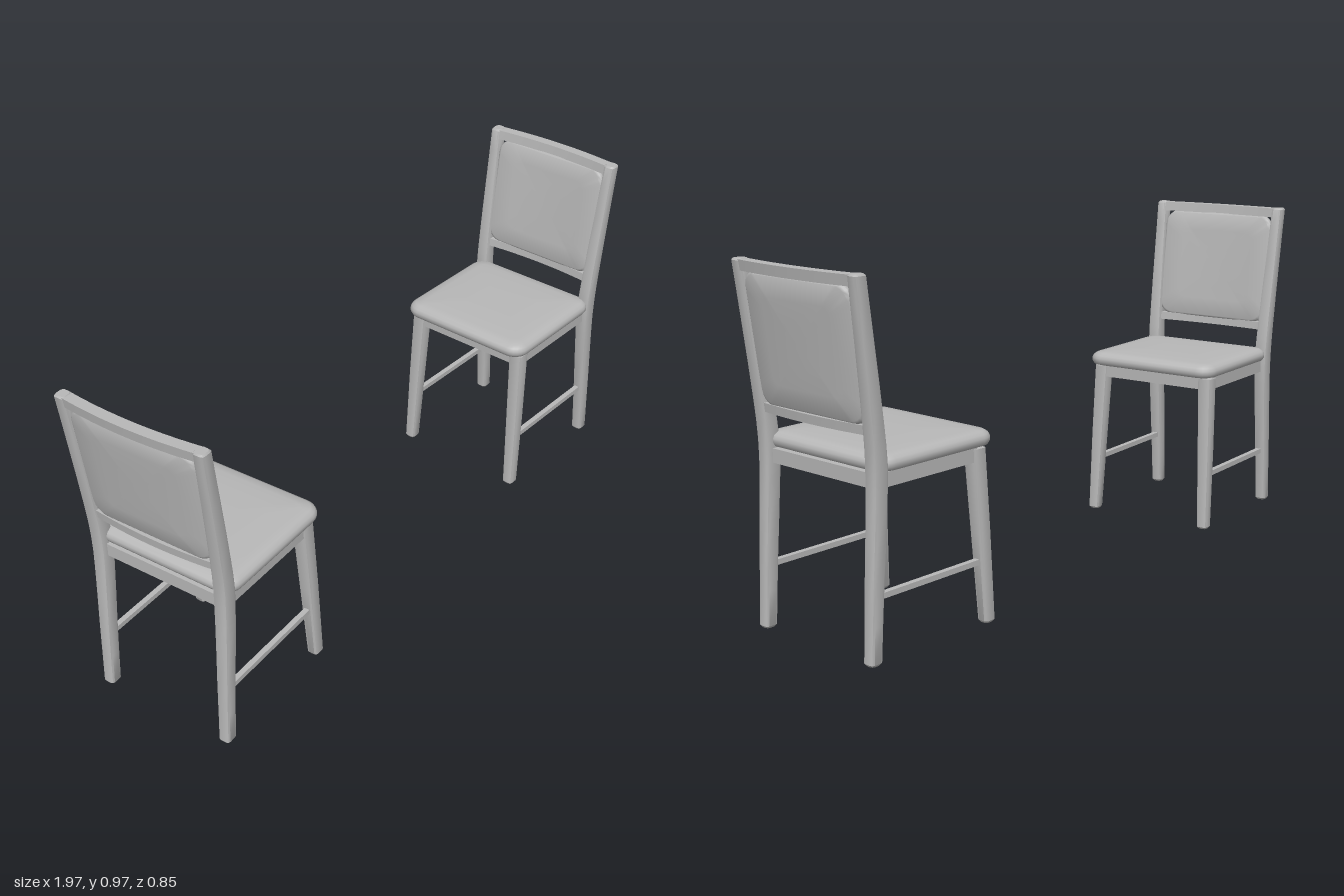
import * as THREE from 'three';
import { toCreasedNormals } from 'three/addons/utils/BufferGeometryUtils.js';

const grey = new THREE.MeshStandardMaterial({ color: 0xb8b8b8 });
grey.name = 'plain grey';

// Closed skin over a stack of rings, with a fan at each end
function loft(rings) {
  const n = rings[0].length, pos = [], idx = [];
  rings.forEach(r => r.forEach(p => pos.push(p[0], p[1], p[2])));
  for (let i = 0; i < rings.length - 1; i++) {
    for (let j = 0; j < n; j++) {
      const k = (j + 1) % n, a = i * n + j, b = i * n + k;
      idx.push(a, a + n, b, b, a + n, b + n);
    }
  }
  [rings[0], rings[rings.length - 1]].forEach((ring, top) => {
    const c = pos.length / 3, base = top ? (rings.length - 1) * n : 0;
    for (let k = 0; k < 3; k++) pos.push(ring.reduce((s, p) => s + p[k], 0) / n);
    for (let j = 0; j < n; j++) {
      const a = base + j, b = base + (j + 1) % n;
      if (top) idx.push(c, b, a); else idx.push(c, a, b);
    }
  });
  const g = new THREE.BufferGeometry();
  g.setAttribute('position', new THREE.Float32BufferAttribute(pos, 3));
  g.setIndex(idx);
  return g;
}

// Rounded rectangle lying flat at height y
function outline(w, d, r, y, cx = 0, cz = 0, steps = 6) {
  const pts = [];
  [[1, 1], [-1, 1], [-1, -1], [1, -1]].forEach(([sx, sz], q) => {
    for (let i = 0; i <= steps; i++) {
      const a = (q + i / steps) * Math.PI / 2;
      pts.push([cx + sx * (w / 2 - r) + r * Math.cos(a), y, cz + sz * (d / 2 - r) + r * Math.sin(a)]);
    }
  });
  return pts;
}

// Wooden post from stations [y, x, z, width, depth]
function post(stations) {
  return loft(stations.map(([y, x, z, w, d]) => outline(w, d, 0.008, y, x, z, 2)));
}

// Centre line of the back posts: z for a given height
const curve = new THREE.CatmullRomCurve3([
  [0, -0.188], [0.2, -0.177], [0.4, -0.164], [0.5, -0.162], [0.6, -0.171], [0.8, -0.197], [0.967, -0.22],
].map(([y, z]) => new THREE.Vector3(0, y, z)));
const line = curve.getPoints(80);
function backZ(y) {
  let i = 1;
  while (i < line.length - 1 && line[i].y < y) i++;
  const a = line[i - 1], b = line[i];
  return a.z + (b.z - a.z) * (y - a.y) / (b.y - a.y);
}

// Leans and bows a flat part along the backrest
function bendToBack(g) {
  const p = g.attributes.position;
  for (let i = 0; i < p.count; i++) {
    const x = p.getX(i), y = p.getY(i);
    p.setZ(i, p.getZ(i) + backZ(y) - 0.014 * (1 - (x / 0.205) ** 2));
  }
  return g;
}

function createChair() {
  const chair = new THREE.Group();
  const add = (name, g, crease = 0.6) => {
    const m = new THREE.Mesh(toCreasedNormals(g, crease), grey);
    m.name = name;
    chair.add(m);
    return m;
  };
  const board = (name, w, h, d, x, y, z) => add(name, new THREE.BoxGeometry(w, h, d).translate(x, y, z));

  // Legs, side aprons and stretchers
  for (const s of [1, -1]) {
    const side = s > 0 ? 'left' : 'right';
    const heights = [0.006, 0.1, 0.2, 0.3, 0.4, 0.45, 0.5, 0.55, 0.6, 0.7, 0.8, 0.9, 0.962];
    const stations = heights.map(y => {
      const fat = Math.max(0, 1 - Math.abs(y - 0.48) / 0.45);
      return [y, s * (0.2 + 0.012 * Math.max(0, (y - 0.45) / 0.5)), backZ(y), 0.034 + 0.008 * fat, 0.037 + 0.007 * fat];
    });
    stations.unshift([0, s * 0.2, backZ(0), 0.026, 0.028]);
    stations.push([0.967, s * 0.212, backZ(0.967), 0.028, 0.03]);
    add(side + 'BackPost', post(stations));
    add(side + 'FrontLeg', post([
      [0, s * 0.201, 0.213, 0.026, 0.028],
      [0.006, s * 0.201, 0.213, 0.034, 0.036],
      [0.25, s * 0.195, 0.2, 0.04, 0.041],
      [0.474, s * 0.188, 0.188, 0.044, 0.044],
    ]));
    board(side + 'Stretcher', 0.016, 0.015, 0.37, s * 0.197, 0.17, 0.015);
    board(side + 'Apron', 0.022, 0.038, 0.33, s * 0.194, 0.459, 0.015);
  }
  board('frontApron', 0.36, 0.038, 0.022, 0, 0.459, 0.196);
  board('backApron', 0.38, 0.038, 0.022, 0, 0.459, -0.157);

  // Padded seat: [inset, height]
  add('seat', loft([
    [0.02, 0.478], [0.006, 0.482], [0, 0.492], [0, 0.502], [0.005, 0.511],
    [0.016, 0.518], [0.04, 0.521], [0.1, 0.524],
  ].map(([e, y]) => outline(0.446 - 2 * e, 0.406 - 2 * e, Math.max(0.05 - e, 0.02), y, 0, 0.037))), 0.9);

  // Backrest rails
  const rail = (name, y, h, w, d) =>
    add(name, bendToBack(new THREE.BoxGeometry(w, h, d, 12, 1, 1).translate(0, y, 0)));
  rail('crestRail', 0.951, 0.028, 0.41, 0.032);
  rail('lowerRail', 0.587, 0.024, 0.39, 0.026);

  // Padded back panel: [scale, thickness offset]
  const panel = loft([
    [0.3, -0.013], [0.65, -0.013], [0.96, -0.012], [0.99, -0.009], [1, -0.004],
    [1, 0.004], [0.99, 0.009], [0.96, 0.012], [0.65, 0.014], [0.3, 0.015],
  ].map(([k, t]) => outline(0.39 * k, 0.344 * k, 0.045 * k, t)));
  panel.rotateX(Math.PI / 2).translate(0, 0.768, 0);
  add('backPanel', bendToBack(panel), 0.9);
  return chair;
}

export function createModel() {
  const model = new THREE.Group();
  [['firstChair', -0.697, 0.138, 106], ['secondChair', 0.714, -0.169, -80.5]].forEach(([name, x, z, turn]) => {
    const chair = createChair();
    chair.name = name;
    chair.position.set(x, 0, z);
    chair.rotation.y = THREE.MathUtils.degToRad(turn);
    model.add(chair);
  });
  return model;
}
